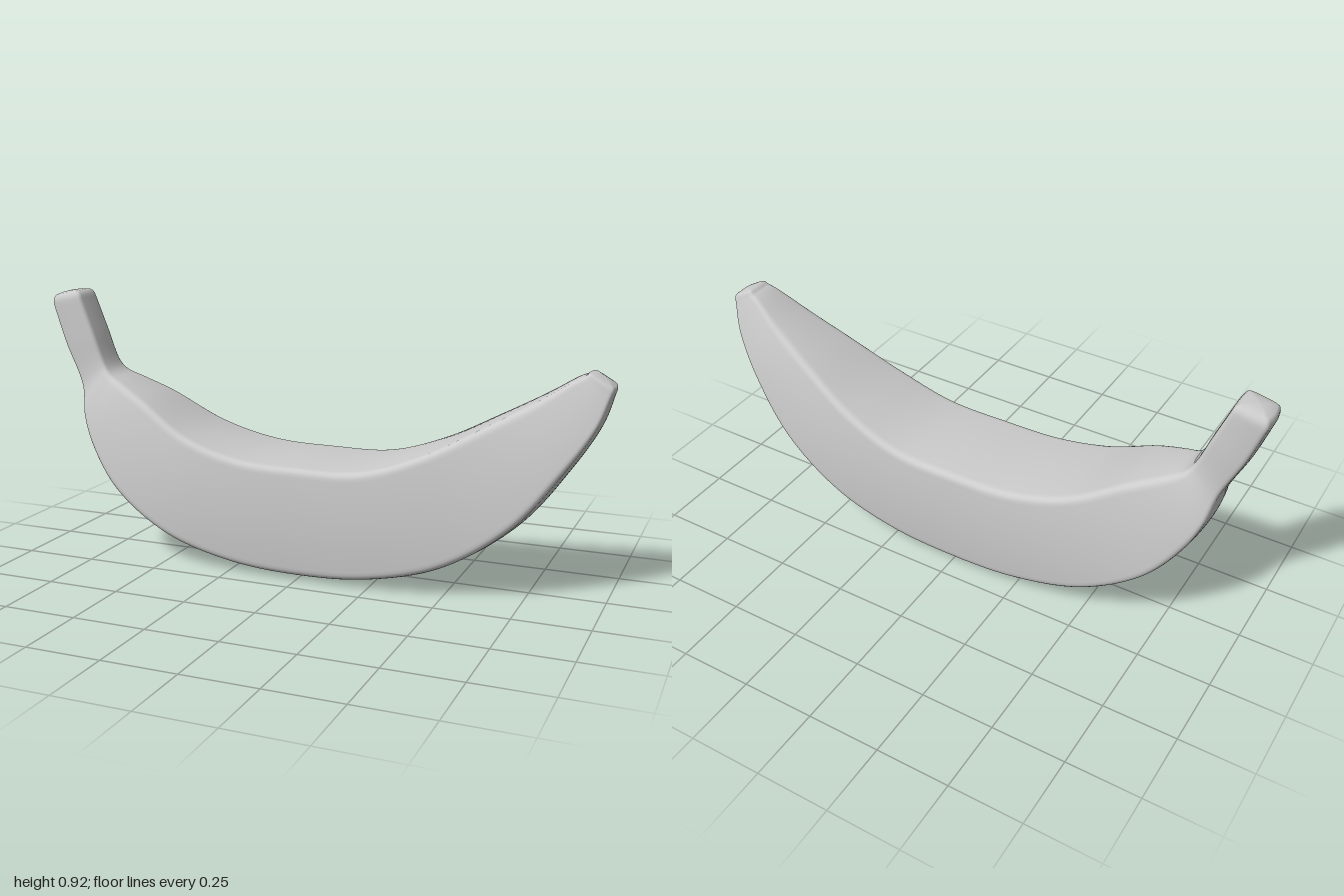
import * as THREE from 'three';

// Ridge lines along the fruit, stem to tip: x, y, half width
const TOP = [
  [-0.875, 0.895, 0.058], [-0.83, 0.78, 0.06], [-0.785, 0.665, 0.062], [-0.76, 0.635, 0.075],
  [-0.7, 0.607, 0.1], [-0.6, 0.56, 0.13], [-0.42, 0.46, 0.17], [-0.22, 0.405, 0.187],
  [0, 0.395, 0.19], [0.22, 0.403, 0.187], [0.42, 0.47, 0.17], [0.62, 0.575, 0.13],
  [0.78, 0.665, 0.09], [0.88, 0.727, 0.058], [0.905, 0.737, 0.05],
];
const BOTTOM = [
  [-0.998, 0.87, 0.058], [-0.95, 0.73, 0.06], [-0.885, 0.58, 0.065], [-0.86, 0.47, 0.1],
  [-0.81, 0.36, 0.13], [-0.7, 0.22, 0.16], [-0.5, 0.09, 0.18], [-0.25, 0.021, 0.187],
  [0, 0.003, 0.187], [0.25, 0.02, 0.187], [0.5, 0.09, 0.18], [0.72, 0.24, 0.163],
  [0.87, 0.43, 0.13], [0.96, 0.58, 0.085], [0.995, 0.685, 0.05],
];
const curve = (rows) => new THREE.CatmullRomCurve3(rows.map((r) => new THREE.Vector3(...r)));

// Four-sided section with soft corners and slightly bulging faces
function section(top, bottom) {
  const up = new THREE.Vector2(top.x - bottom.x, top.y - bottom.y);
  const height = up.length();
  up.normalize();
  const lowInset = 0.08 * bottom.z, highInset = 0.03 * top.z;
  const corners = [
    new THREE.Vector2(bottom.z, lowInset), new THREE.Vector2(top.z, height - highInset),
    new THREE.Vector2(-top.z, height - highInset), new THREE.Vector2(-bottom.z, lowInset),
  ];
  const sideBulge = 0.035 * (top.z + bottom.z) / 2;
  const bulge = [sideBulge, highInset, sideBulge, lowInset];
  const radius = Math.min(0.03, 0.3 * Math.min(top.z, bottom.z, height / 2));
  const toward = (a, b) => a.clone().add(b.clone().sub(a).setLength(radius));
  const ring = [];
  for (let k = 0; k < 4; k++) {
    const c = corners[k], prev = corners[(k + 3) % 4], next = corners[(k + 1) % 4];
    const round = new THREE.QuadraticBezierCurve(toward(c, prev), c, toward(c, next));
    ring.push(...round.getPoints(5));
    const from = toward(c, next), to = toward(next, c);
    const out = new THREE.Vector2(to.y - from.y, from.x - to.x).normalize();
    for (let i = 1; i < 8; i++) {
      const t = i / 8;
      ring.push(from.clone().lerp(to, t).addScaledVector(out, bulge[k] * 4 * t * (1 - t)));
    }
  }
  return ring.map((p) => new THREE.Vector3(bottom.x + up.x * p.y, bottom.y + up.y * p.y, p.x));
}

// Rounded end: shrinking copies of a ring pushed outwards
function endRings(ring, top, bottom, sign, depth) {
  const centre = new THREE.Vector3((top.x + bottom.x) / 2, (top.y + bottom.y) / 2, 0);
  const out = new THREE.Vector3(top.y - bottom.y, bottom.x - top.x, 0).setLength(depth * sign);
  return [[0.97, 0.3], [0.9, 0.6], [0.78, 0.8], [0.4, 0.96], [0.01, 1]].map(([scale, push]) =>
    ring.map((p) => p.clone().sub(centre).multiplyScalar(scale).add(centre).addScaledVector(out, push)));
}

function loft(rings) {
  const n = rings[0].length, index = [];
  for (let i = 0; i < rings.length - 1; i++) {
    for (let j = 0; j < n; j++) {
      const a = i * n + j, d = i * n + (j + 1) % n;
      index.push(a, a + n, d, d, a + n, d + n);
    }
  }
  const geometry = new THREE.BufferGeometry().setFromPoints(rings.flat());
  geometry.setIndex(index);
  geometry.computeVertexNormals();
  return geometry;
}

export function createModel() {
  const top = curve(TOP), bottom = curve(BOTTOM);
  const steps = 112, rings = [];
  for (let i = 0; i <= steps; i++) rings.push(section(top.getPoint(i / steps), bottom.getPoint(i / steps)));

  const stemEnd = endRings(rings[0], top.getPoint(0), bottom.getPoint(0), -1, 0.035).reverse();
  const tipEnd = endRings(rings[steps], top.getPoint(1), bottom.getPoint(1), 1, 0.022);

  const material = new THREE.MeshStandardMaterial({ color: 0xcccccc });
  const banana = new THREE.Mesh(loft([...stemEnd, ...rings, ...tipEnd]), material);
  banana.name = 'banana';

  const group = new THREE.Group();
  group.name = 'fruit';
  group.add(banana);
  return group;
}
